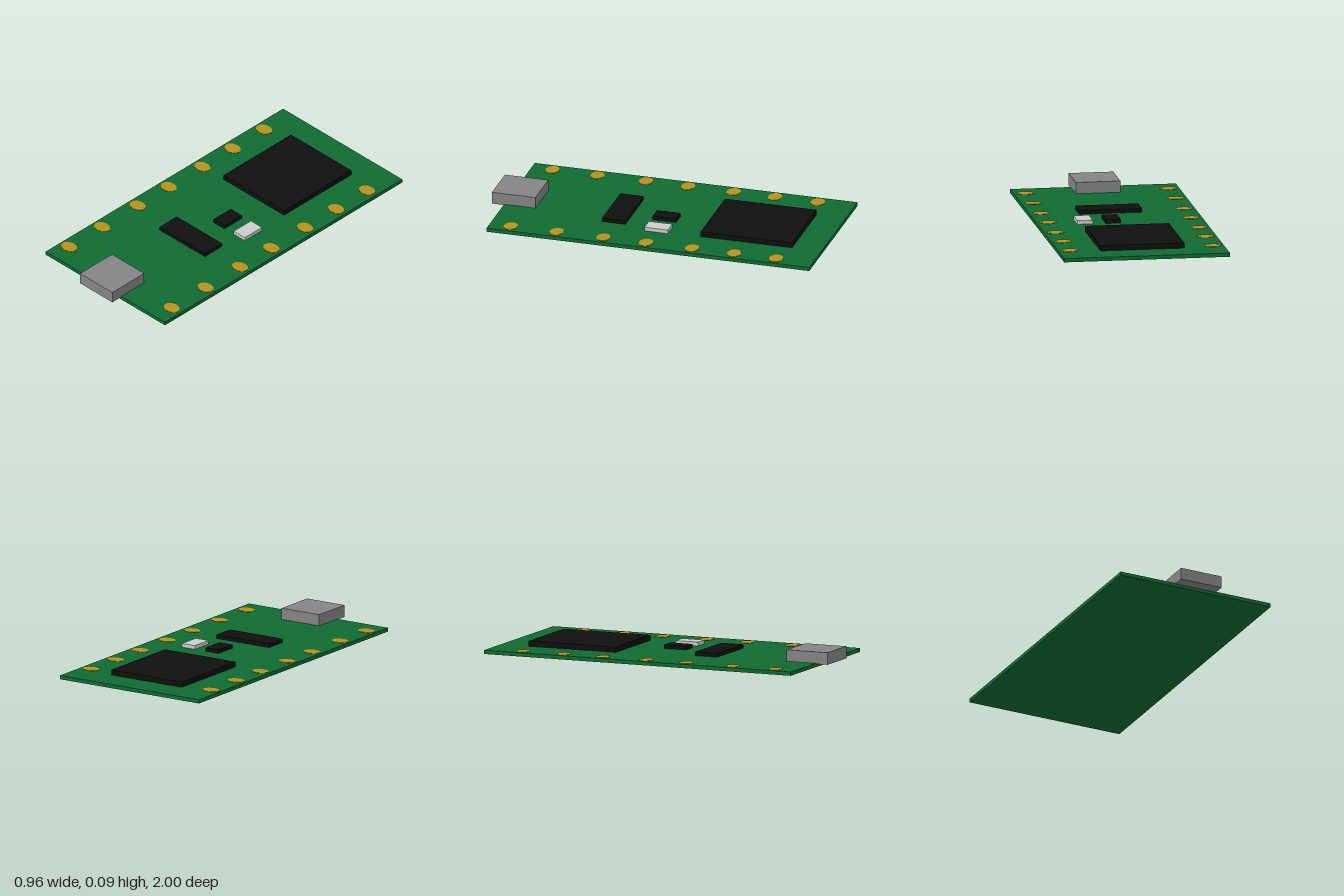
import * as THREE from 'three';

const material = (color) => new THREE.MeshStandardMaterial({ color });

// Box given by its limits on each axis
function block(name, [x0, x1], [y0, y1], [z0, z1], mat) {
  const mesh = new THREE.Mesh(new THREE.BoxGeometry(x1 - x0, y1 - y0, z1 - z0), mat);
  mesh.position.set((x0 + x1) / 2, (y0 + y1) / 2, (z0 + z1) / 2);
  mesh.name = name;
  return mesh;
}

export function createModel() {
  const group = new THREE.Group();
  group.name = 'circuitBoard';
  const green = material(0x0f6b32);
  const black = material(0x0f0f10);
  const gold = material(0xb8901a);
  const metal = material(0x848484);
  const light = material(0xcccccc);
  const top = 0.022;

  group.add(
    // Board
    block('board', [-0.48, 0.48], [0, top], [-1, 0.927], green),
    // Chips
    block('mainChip', [-0.244, 0.242], [top, 0.053], [-0.826, -0.28], black),
    block('longChip', [-0.163, 0.2], [top, 0.044], [0.182, 0.321], black),
    block('smallChip', [0.003, 0.092], [top, 0.044], [-0.088, 0.052], black),
    // Push button
    block('button', [0.166, 0.255], [top, 0.044], [-0.088, 0.052], light),
    // Connector overhanging the front edge
    block('connector', [-0.13, 0.129], [0.018, 0.088], [0.741, 1], metal)
  );

  // Oval contact pads along both long edges
  const padGeometry = new THREE.CylinderGeometry(1, 1, 1, 32);
  const pads = new THREE.Group();
  pads.name = 'contactPads';
  const rows = [
    [-0.416, [-0.782, -0.526, -0.28, -0.007, 0.244, 0.533, 0.802]],
    [0.412, [-0.782, -0.531, -0.28, -0.005, 0.249, 0.528, 0.802]],
  ];
  for (const [x, zs] of rows) {
    for (const z of zs) {
      const pad = new THREE.Mesh(padGeometry, gold);
      pad.name = 'contactPad';
      pad.scale.set(0.051, 0.004, 0.04);
      pad.position.set(x, top, z);
      pads.add(pad);
    }
  }
  group.add(pads);
  return group;
}
